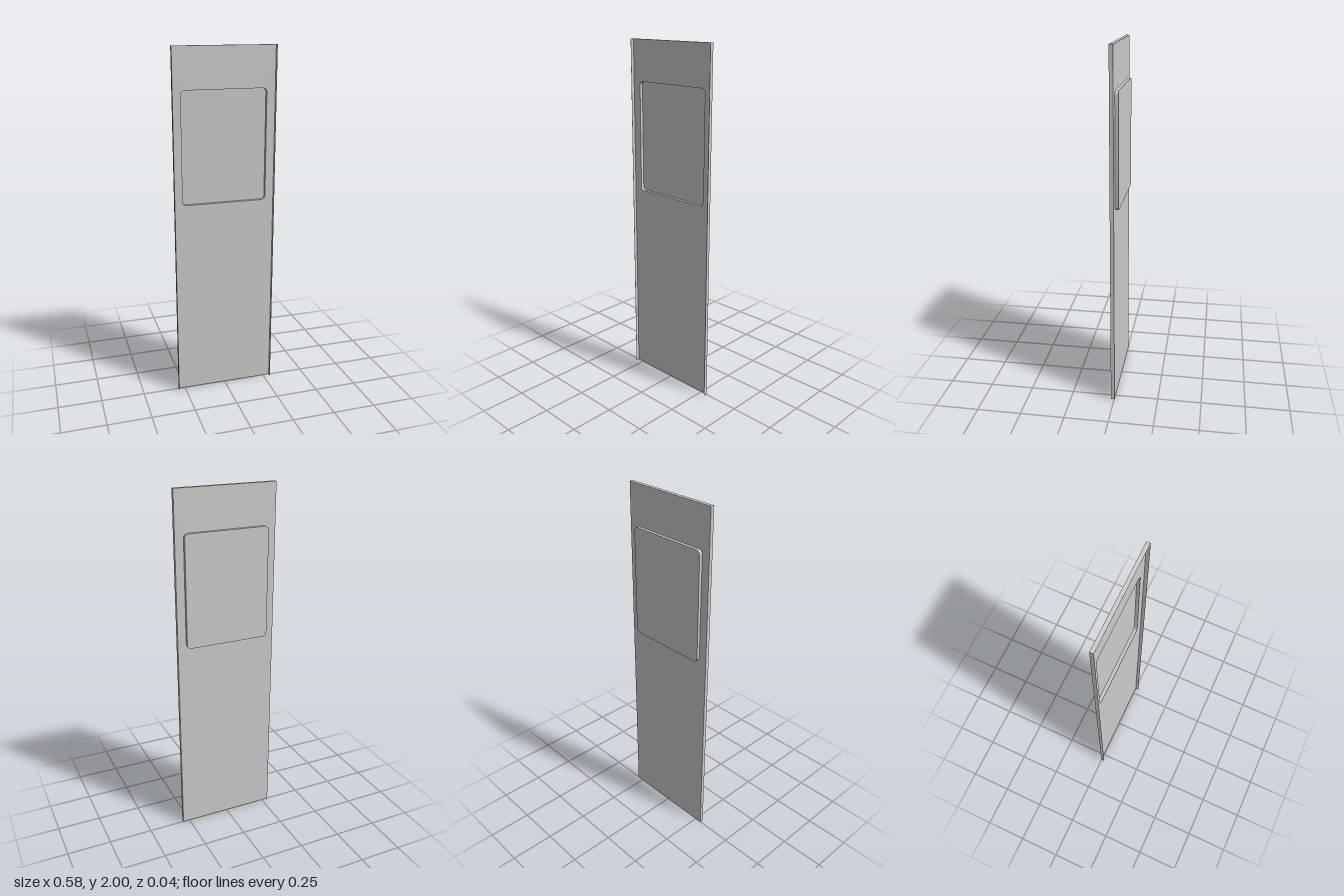
import * as THREE from 'three';
import { toCreasedNormals } from 'three/addons/utils/BufferGeometryUtils.js';

const W = 0.58, H = 2, T = 0.001;                 // panel width, height, sheet thickness
const FRONT = 0.019, PANEL = -0.002, BACK = -0.02; // z of flange lip, panel back, recess back
const RW = 0.484, RH = 0.63, RY = 1.457, R = 0.024; // recess size, centre height, corner radius

function roundedRect(path, w, h, r, cy) {
  const x = w / 2, b = cy - h / 2, t = cy + h / 2;
  path.moveTo(-x + r, b);
  path.lineTo(x - r, b);
  path.absarc(x - r, b + r, r, -Math.PI / 2, 0);
  path.lineTo(x, t - r);
  path.absarc(x - r, t - r, r, 0, Math.PI / 2);
  path.lineTo(-x + r, t);
  path.absarc(-x + r, t - r, r, Math.PI / 2, Math.PI);
  path.lineTo(-x, b + r);
  path.absarc(-x + r, b + r, r, Math.PI, Math.PI * 1.5);
  return path;
}

export function createModel() {
  const group = new THREE.Group();
  const material = new THREE.MeshStandardMaterial({ color: 0xcccccc });

  const add = (name, geometry, x = 0, y = 0, z = 0) => {
    const mesh = new THREE.Mesh(geometry, material);
    mesh.name = name;
    mesh.position.set(x, y, z);
    group.add(mesh);
  };
  const slab = (shape, depth) => toCreasedNormals(
    new THREE.ExtrudeGeometry(shape, { depth, bevelEnabled: false, curveSegments: 10 }), 0.6);
  const outer = () => roundedRect(new THREE.Shape(), RW, RH, R, RY);
  const inner = () => roundedRect(new THREE.Path(), RW - 2 * T, RH - 2 * T, R - T, RY);

  // Thin sheet with the opening of the recess
  const sheet = new THREE.Shape();
  sheet.moveTo(-W / 2, 0);
  sheet.lineTo(W / 2, 0);
  sheet.lineTo(W / 2, H);
  sheet.lineTo(-W / 2, H);
  sheet.closePath();
  sheet.holes.push(inner());
  add('panel', slab(sheet, T), 0, 0, PANEL);

  // Recess pressed out towards the back: side wall and floor
  const wall = outer();
  wall.holes.push(inner());
  add('recessWall', slab(wall, PANEL - BACK - T), 0, 0, BACK + T);
  add('recessFloor', slab(outer(), T), 0, 0, BACK);

  // Flanges folded forward along the sides and the top; the bottom is open
  const depth = FRONT - PANEL - T, zMid = (FRONT + PANEL + T) / 2;
  for (const [side, name] of [[1, 'leftFlange'], [-1, 'rightFlange']]) {
    add(name, new THREE.BoxGeometry(T, H, depth), side * (W - T) / 2, H / 2, zMid);
  }
  add('topFlange', new THREE.BoxGeometry(W - 2 * T, T, depth), 0, H - T / 2, zMid);

  return group;
}
